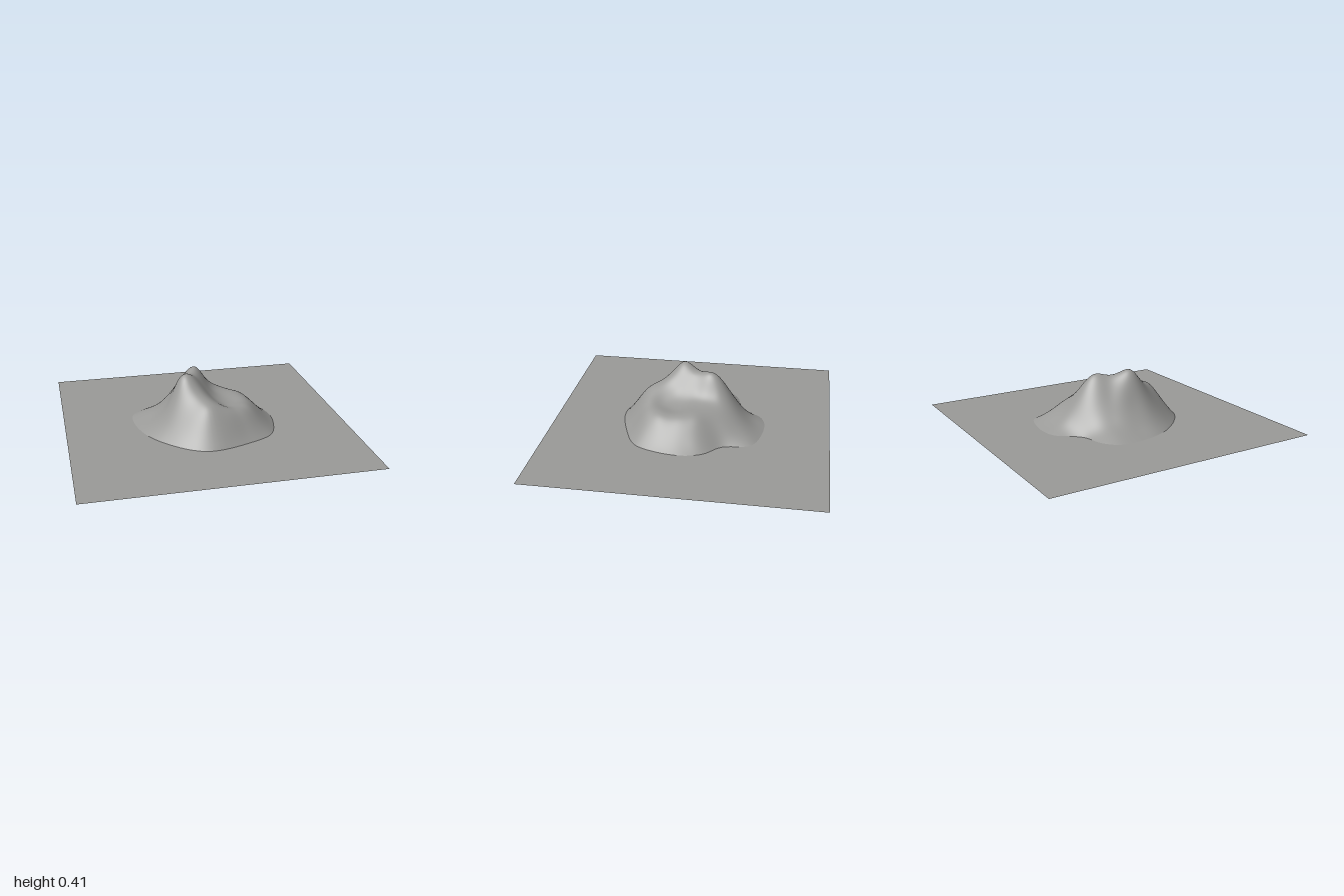
import * as THREE from 'three';

const GROUND_Y = 0.015;

// foot of the hill, as x, z pairs
const FOOT = [
  [-0.02, -0.53], [0.17, -0.515], [0.3, -0.455], [0.35, -0.26], [0.46, -0.14], [0.5, 0.0], [0.48, 0.18],
  [0.41, 0.34], [0.25, 0.43], [-0.05, 0.505], [-0.21, 0.44], [-0.42, 0.21], [-0.5, -0.03],
  [-0.49, -0.21], [-0.4, -0.3], [-0.25, -0.36], [-0.13, -0.49],
];

// landmark heights, as x, z, height
const LANDMARKS = [
  // summit ridge
  [-0.13, 0.09, 0.41], [-0.1, 0, 0.385], [-0.05, -0.07, 0.375], [-0.03, -0.13, 0.385], [-0.02, -0.19, 0.355],
  // back slope
  [0, -0.27, 0.25], [0.02, -0.36, 0.13], [0.03, -0.44, 0.06], [0.2, -0.37, 0.09], [-0.15, -0.25, 0.2], [-0.12, -0.38, 0.07],
  // steep slope on -x
  [-0.2, 0.07, 0.37], [-0.25, 0.05, 0.25], [-0.3, 0.03, 0.16], [-0.4, 0, 0.06],
  [-0.3, -0.15, 0.11], [-0.4, -0.2, 0.05], [-0.18, -0.1, 0.27],
  // front spur
  [-0.12, 0.17, 0.335], [-0.07, 0.25, 0.28], [-0.03, 0.33, 0.24], [-0.05, 0.42, 0.12],
  [-0.2, 0.3, 0.15], [-0.2, 0.2, 0.25], [-0.32, 0.19, 0.11],
  // broad shelf on +x
  [0.03, 0.1, 0.25], [0.05, -0.05, 0.26], [0.06, -0.15, 0.27], [0.12, 0.02, 0.21], [0.12, 0.2, 0.2],
  [0.2, 0.1, 0.19], [0.3, 0.05, 0.185], [0.28, 0.19, 0.185], [0.22, 0.3, 0.17], [0.12, 0.32, 0.2],
  [0.29, -0.08, 0.18], [0.39, 0.1, 0.105], [0.36, 0.24, 0.1], [0.2, 0.38, 0.09], [0.43, -0.02, 0.065],
  [0.2, -0.16, 0.19], [0.25, -0.27, 0.11],
];

// smooth surface through scattered points (radial basis interpolation)
function heightField(points) {
  const n = points.length;
  const kernel = (dx, dz) => Math.sqrt(dx * dx + dz * dz + 0.003);
  const m = points.map((p) => [...points.map((q) => kernel(p[0] - q[0], p[1] - q[1])), p[2]]);
  for (let c = 0; c < n; c++) {
    let best = c;
    for (let r = c + 1; r < n; r++) if (Math.abs(m[r][c]) > Math.abs(m[best][c])) best = r;
    [m[c], m[best]] = [m[best], m[c]];
    for (let r = 0; r < n; r++) {
      if (r === c) continue;
      const f = m[r][c] / m[c][c];
      for (let k = c; k <= n; k++) m[r][k] -= f * m[c][k];
    }
  }
  const weights = m.map((row, i) => row[n] / row[i]);
  return (x, z) => points.reduce((sum, p, i) => sum + weights[i] * kernel(x - p[0], z - p[1]), 0);
}

// rings from the middle out to the foot, lifted by the height field
function hillGeometry() {
  const curve = new THREE.CatmullRomCurve3(FOOT.map(([x, z]) => new THREE.Vector3(x, 0, z)), true);
  const footHeight = (p) => GROUND_Y * (1 - Math.exp(-((p.x + 0.24) ** 2 + (p.z + 0.42) ** 2) / 0.012));
  const rim = curve.getPoints(34).slice(0, 34).map((p) => [p.x, p.z, footHeight(p)]);
  const height = heightField([...LANDMARKS, ...rim]);
  const rings = 36, sides = 120, cx = -0.05, cz = 0;
  const outline = curve.getPoints(sides);
  const position = [cx, height(cx, cz), cz], index = [];
  for (let r = 1; r <= rings; r++) {
    for (let s = 0; s < sides; s++) {
      const p = outline[s], t = r / rings;
      const x = cx + (p.x - cx) * t, z = cz + (p.z - cz) * t;
      position.push(x, r === rings ? footHeight(p) : Math.max(0, height(x, z)), z);
    }
  }
  const at = (r, s) => 1 + (r - 1) * sides + (s % sides);
  for (let s = 0; s < sides; s++) {
    index.push(0, at(1, s + 1), at(1, s));
    for (let r = 1; r < rings; r++) {
      index.push(at(r, s), at(r, s + 1), at(r + 1, s), at(r, s + 1), at(r + 1, s + 1), at(r + 1, s));
    }
  }
  const geometry = new THREE.BufferGeometry();
  geometry.setAttribute('position', new THREE.Float32BufferAttribute(position, 3));
  geometry.setIndex(index);
  geometry.computeVertexNormals();
  return geometry;
}

export function createModel() {
  const stone = new THREE.MeshStandardMaterial({ color: 0x9a9a98, side: THREE.DoubleSide });
  stone.name = 'stone grey';

  const model = new THREE.Group();
  model.name = 'hillOnPlain';

  // flat square plain
  const ground = new THREE.Mesh(new THREE.PlaneGeometry(2, 2).rotateX(-Math.PI / 2), stone);
  ground.name = 'ground';
  ground.position.y = GROUND_Y;

  // rocky hill
  const hill = new THREE.Mesh(hillGeometry(), stone);
  hill.name = 'hill';

  model.add(ground, hill);
  return model;
}
